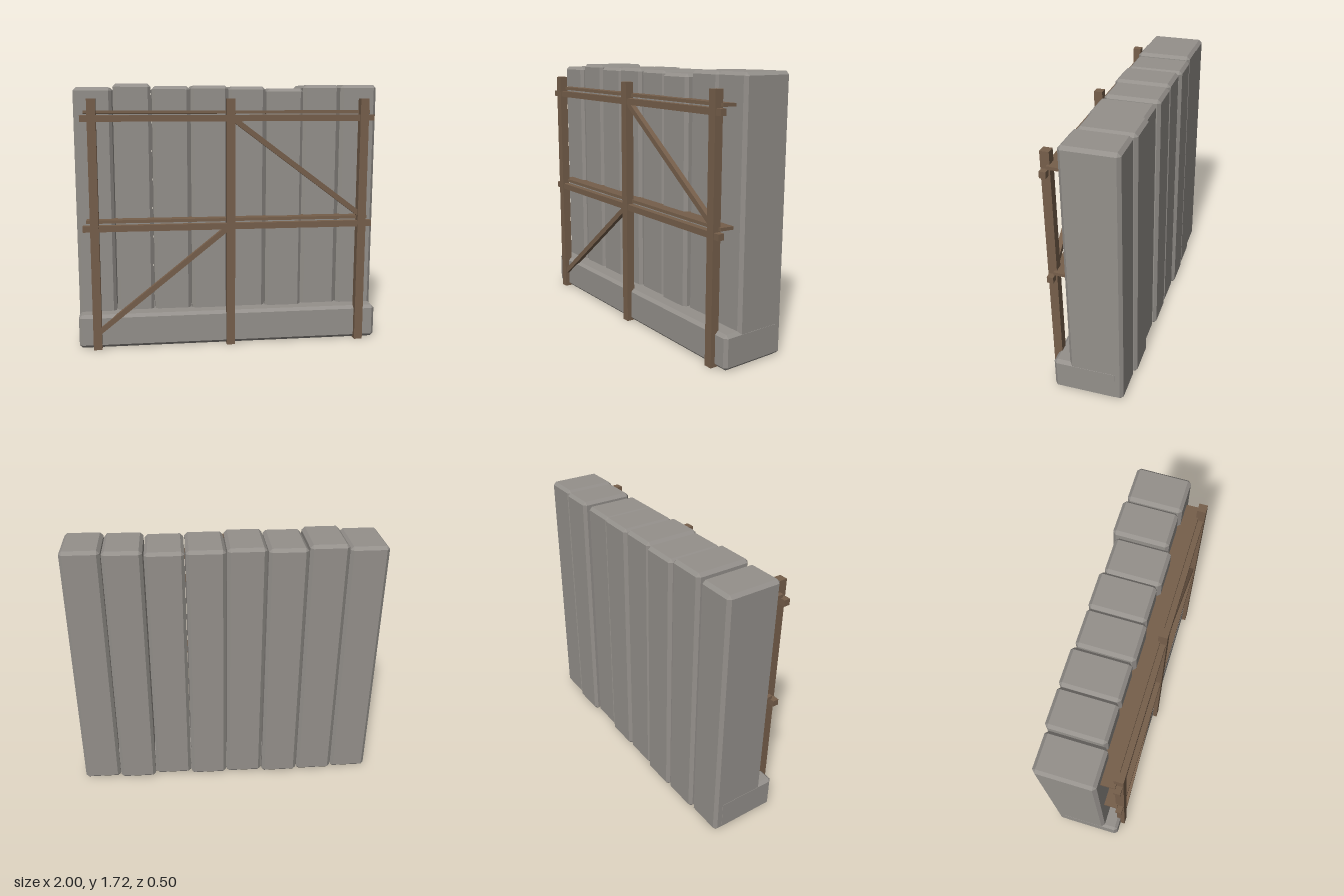
import * as THREE from 'three';
import { ConvexGeometry } from 'three/addons/geometries/ConvexGeometry.js';

const stone = new THREE.MeshStandardMaterial({ color: 0x94908b });
stone.name = 'grey stone';
const wood = new THREE.MeshStandardMaterial({ color: 0x765f4b });
wood.name = 'brown wood';

// Block with every edge chamfered by c, given its min and max corners
function chamferedBlock(name, min, max, c) {
  const half = min.map((m, i) => (max[i] - m) / 2);
  const points = [];
  for (const sx of [-1, 1]) for (const sy of [-1, 1]) for (const sz of [-1, 1]) {
    for (let axis = 0; axis < 3; axis++) {
      const p = [sx, sy, sz].map((s, i) => s * (half[i] - (i === axis ? 0 : c)));
      points.push(new THREE.Vector3(...p));
    }
  }
  const mesh = new THREE.Mesh(new ConvexGeometry(points), stone);
  mesh.position.set(...min.map((m, i) => (m + max[i]) / 2));
  mesh.name = name;
  return mesh;
}

function beam(name, w, h, d, x, y, z) {
  const mesh = new THREE.Mesh(new THREE.BoxGeometry(w, h, d), wood);
  mesh.position.set(x, y, z);
  mesh.name = name;
  return mesh;
}

// Diagonal beam between two points in the plane of the frame
function brace(name, x1, y1, x2, y2) {
  const length = Math.hypot(x2 - x1, y2 - y1);
  const mesh = beam(name, length, 0.034, 0.034, (x1 + x2) / 2, (y1 + y2) / 2, 0.222);
  mesh.rotation.z = Math.atan2(y2 - y1, x2 - x1);
  return mesh;
}

export function createModel() {
  const model = new THREE.Group();
  model.name = 'scaffoldedWall';

  // Upright slabs, each slightly uneven: top, back z, front z
  const slabs = [
    [1.696, -0.235, 0.125], [1.719, -0.246, 0.111], [1.704, -0.252, 0.111], [1.708, -0.237, 0.122],
    [1.702, -0.241, 0.111], [1.69, -0.221, 0.128], [1.713, -0.246, 0.102], [1.715, -0.23, 0.115],
  ];
  const wall = new THREE.Group();
  wall.name = 'wall';
  slabs.forEach(([top, back, front], i) => {
    const x = -0.875 + i * 0.25;
    wall.add(chamferedBlock('slab' + (i + 1), [x - 0.122, 0.004, back], [x + 0.122, top, front], 0.02));
  });

  // Footing along the foot of the wall
  wall.add(chamferedBlock('footing', [-0.998, 0.003, -0.2], [0.998, 0.225, 0.22], 0.02));
  model.add(wall);

  const scaffold = new THREE.Group();
  scaffold.name = 'scaffold';

  // Posts
  for (const x of [-0.877, 0, 0.877]) {
    scaffold.add(beam('post', 0.055, 1.625, 0.055, x, 0.8125, 0.223));
  }

  // Rails, each with a slightly tilted walking board
  for (const y of [1.502, 0.803]) {
    scaffold.add(beam('rail', 1.895, 0.04, 0.04, -0.003, y, 0.225));
    const board = beam('board', 1.855, 0.02, 0.13, -0.003, y + 0.036, 0.145);
    board.rotation.x = -0.04;
    board.rotation.z = -0.001;
    scaffold.add(board);
  }

  // Diagonal braces
  scaffold.add(brace('upperBrace', 0, 1.51, 0.877, 0.855));
  scaffold.add(brace('lowerBrace', -0.877, 0.105, 0, 0.805));
  model.add(scaffold);

  return model;
}
